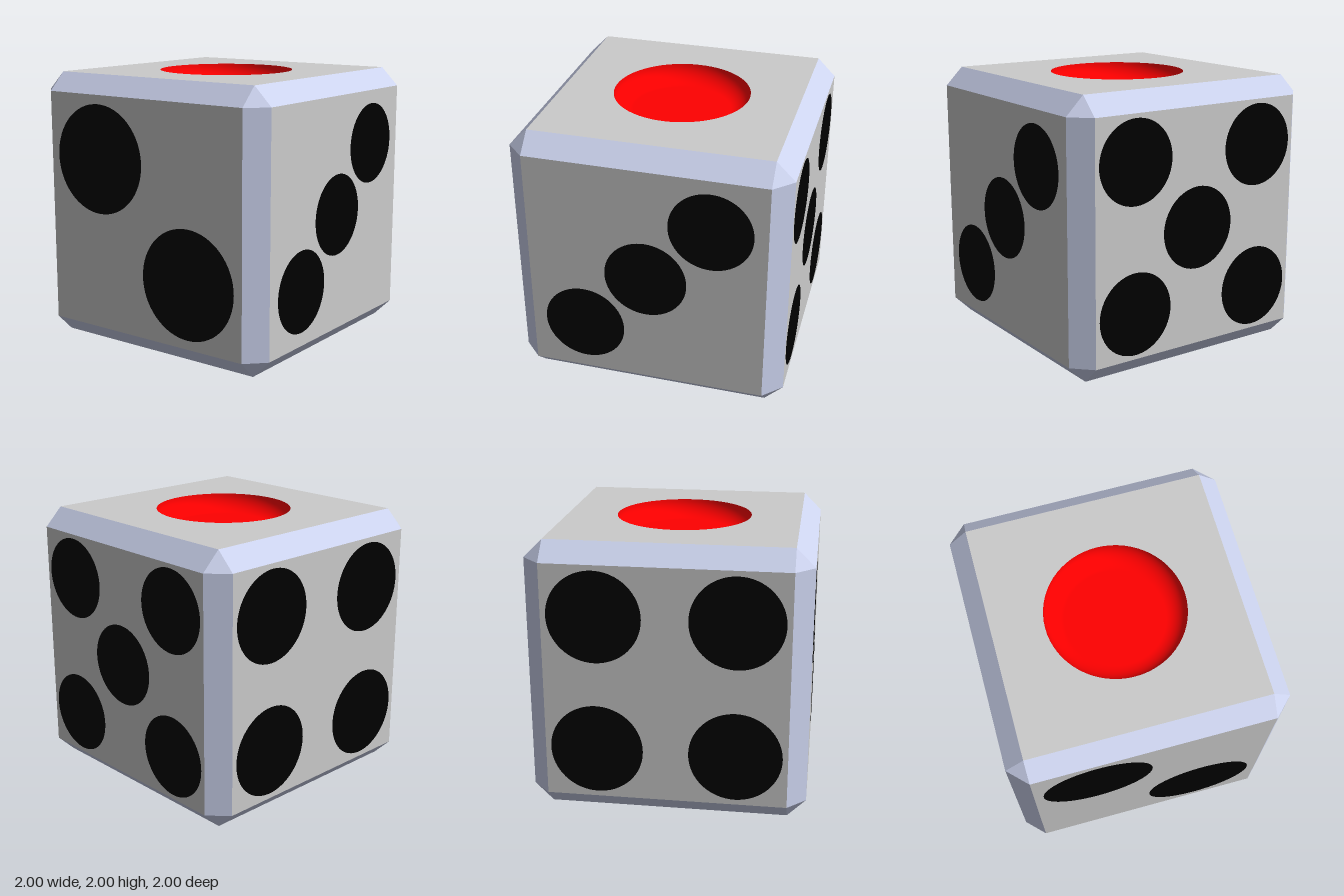
import * as THREE from 'three';
import { mergeGeometries } from 'three/addons/utils/BufferGeometryUtils.js';

const FLAT = 0.866; // half width of each flat face
const HALF = 1; // half size of the whole cube

const material = (color, extra = {}) => new THREE.MeshStandardMaterial({ color, ...extra });

function mesh(name, geometry, mat) {
  const m = new THREE.Mesh(geometry, mat);
  m.name = name;
  return m;
}

// Square panel with a round hole for every pip
function panelGeometry(pips, r) {
  const shape = new THREE.Shape();
  shape.moveTo(-FLAT, -FLAT).lineTo(FLAT, -FLAT).lineTo(FLAT, FLAT).lineTo(-FLAT, FLAT).closePath();
  for (const [x, y] of pips) {
    shape.holes.push(new THREE.Path().absarc(x, y, r, 0, Math.PI * 2, true));
  }
  return new THREE.ShapeGeometry(shape, 32);
}

// Shallow dish: steep rounded wall running into a flat floor, opening to +z
function dishGeometry(r) {
  const depth = 0.055 + 0.15 * r;
  const profile = [];
  for (let i = 0; i <= 10; i++) {
    const a = (i / 10) * Math.PI / 2;
    profile.push(new THREE.Vector2(r * (0.72 + 0.28 * Math.cos(a)), -depth * Math.sin(a)));
  }
  profile.push(new THREE.Vector2(0, -depth));
  return new THREE.LatheGeometry(profile, 64).rotateX(Math.PI / 2);
}

// Twelve chamfer strips, four along each axis
function edgeGeometry() {
  const width = (HALF - FLAT) * Math.SQRT2;
  const reach = (HALF + FLAT) / Math.SQRT2;
  const parts = [];
  for (let k = 0; k < 4; k++) {
    const a = Math.PI / 4 + k * Math.PI / 2;
    parts.push(
      new THREE.PlaneGeometry(2 * FLAT, width).translate(0, 0, reach).rotateX(a),
      new THREE.PlaneGeometry(width, 2 * FLAT).translate(0, 0, reach).rotateY(a),
      new THREE.PlaneGeometry(width, 2 * FLAT).translate(0, 0, reach).rotateX(-Math.PI / 2).rotateZ(a)
    );
  }
  return mergeGeometries(parts);
}

// Eight triangles closing the corners
function cornerGeometry() {
  const positions = [];
  for (const x of [-1, 1]) for (const y of [-1, 1]) for (const z of [-1, 1]) {
    const a = [x * HALF, y * FLAT, z * FLAT];
    const b = [x * FLAT, y * HALF, z * FLAT];
    const c = [x * FLAT, y * FLAT, z * HALF];
    positions.push(...(x * y * z > 0 ? [a, b, c] : [a, c, b]).flat());
  }
  const g = new THREE.BufferGeometry();
  g.setAttribute('position', new THREE.Float32BufferAttribute(positions, 3));
  g.computeVertexNormals();
  return g;
}

export function createModel() {
  const model = new THREE.Group();
  model.name = 'die';
  const body = new THREE.Group();
  body.name = 'body';
  body.position.y = HALF;
  model.add(body);

  const grey = material(0xcccccc);
  const bevel = material(0xccd3ee);
  const black = material(0x000000, { side: THREE.DoubleSide });
  const red = material(0xff0000, { side: THREE.DoubleSide });

  const q = Math.PI / 2;
  const square = (d) => [[-d, -d], [d, -d], [-d, d], [d, d]];
  // Each face: turn about x and y, pip radius and pip centres
  const faces = [
    { name: 'top', rx: -q, ry: 0, r: 0.5, mat: red, pips: [[0, 0]] },
    { name: 'leftSide', rx: 0, ry: q, r: 0.3, mat: black, pips: [...square(0.535), [0, 0]] },
    { name: 'front', rx: 0, ry: 0, r: 0.3, mat: black, pips: [[-0.467, -0.467], [0, 0], [0.467, 0.467]] },
    { name: 'back', rx: 0, ry: Math.PI, r: 0.333, mat: black, pips: square(0.495) },
    { name: 'rightSide', rx: 0, ry: -q, r: 0.4, mat: black, pips: [[-0.4, 0.4], [0.4, -0.4]] },
    { name: 'bottom', rx: q, ry: 0, r: 0.233, mat: black,
      pips: [-0.467, 0.467].flatMap((x) => [-0.535, 0, 0.535].map((y) => [x, y])) },
  ];

  for (const f of faces) {
    const face = new THREE.Group();
    face.name = f.name + 'Face';
    face.rotation.set(f.rx, f.ry, 0);
    const panel = mesh(f.name + 'Panel', panelGeometry(f.pips, f.r), grey);
    panel.position.z = HALF;
    face.add(panel);
    const dish = dishGeometry(f.r);
    for (const [x, y] of f.pips) {
      const pip = mesh(f.name + 'Pip', dish, f.mat);
      pip.position.set(x, y, HALF);
      face.add(pip);
    }
    body.add(face);
  }

  body.add(mesh('bevelledEdges', edgeGeometry(), bevel));
  body.add(mesh('bevelledCorners', cornerGeometry(), bevel));
  return model;
}
